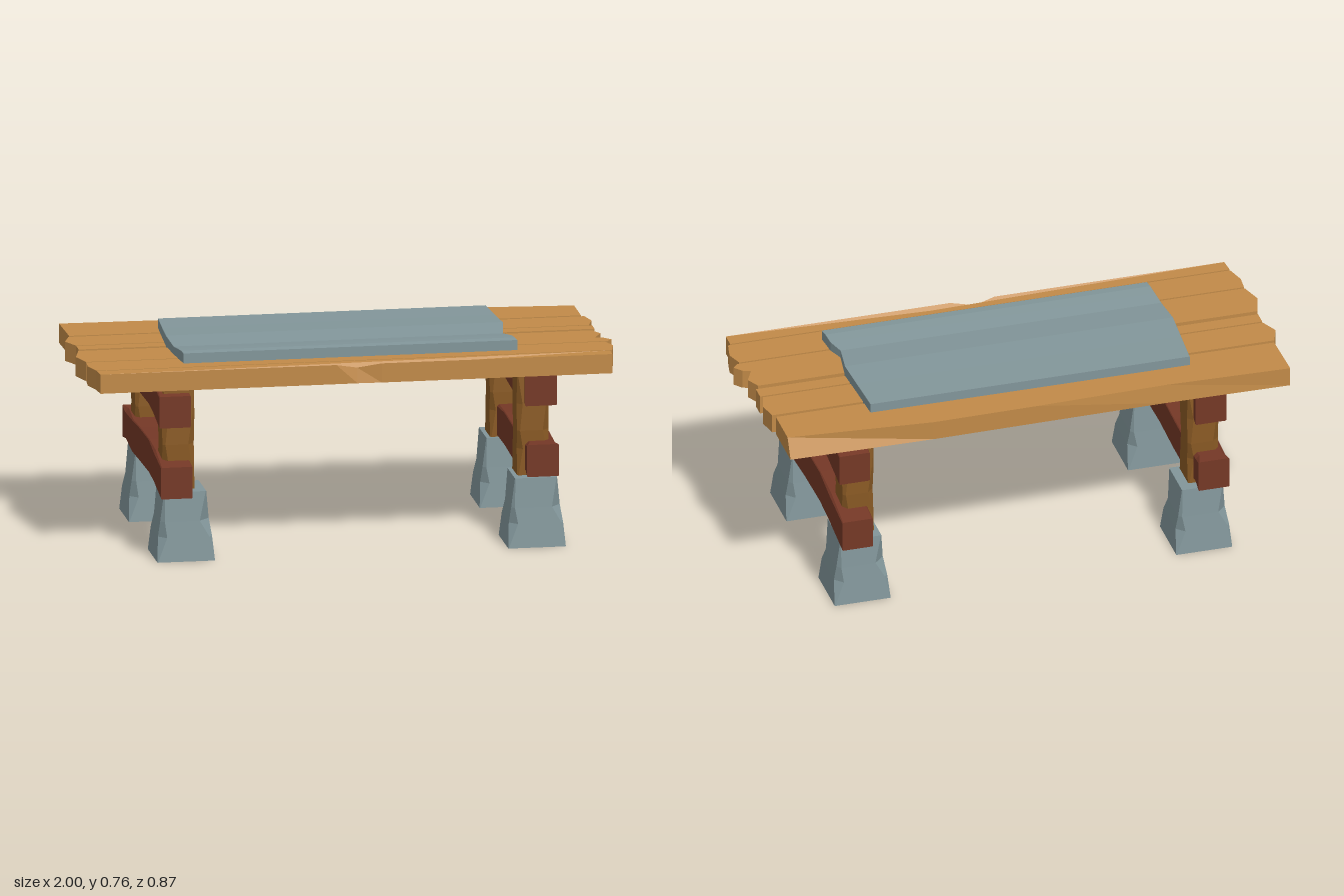
import * as THREE from 'three';

const mat = (name, color) => Object.assign(new THREE.MeshStandardMaterial({ color }), { name });

// Skin a list of rings (each counter-clockwise seen from the far end) with capped ends and flat facets.
function loft(rings) {
  const n = rings[0].length, index = [], last = (rings.length - 1) * n;
  for (let i = 0; i < rings.length - 1; i++) {
    for (let j = 0; j < n; j++) {
      const a = i * n + j, b = i * n + (j + 1) % n;
      index.push(a, b, b + n, a, b + n, a + n);
    }
  }
  for (let j = 1; j < n - 1; j++) index.push(0, j + 1, j, last, last + j, last + j + 1);
  const g = new THREE.BufferGeometry();
  g.setAttribute('position', new THREE.Float32BufferAttribute(rings.flat(2), 3));
  g.setIndex(index);
  const flat = g.toNonIndexed();
  flat.computeVertexNormals();
  return flat;
}

// Rectangle with four cut corners; cuts start at (u0, v0) and run counter-clockwise.
function cutRect(u0, u1, v0, v1, [a, b, c, d]) {
  return [[u0 + a, v0], [u1 - b, v0], [u1, v0 + b], [u1, v1 - c],
    [u1 - c, v1], [u0 + d, v1], [u0, v1 - d], [u0, v0 + a]];
}

// Upright block: levels of [y, half width x, half width z, corner cuts].
const upright = levels => loft(levels.map(([y, hx, hz, cuts]) =>
  cutRect(-hz, hz, -hx, hx, cuts).map(([z, x]) => [x, y, z])));

// Block along z: stations of [z, x0, x1, y0, y1, cut].
const along = stations => loft(stations.map(([z, x0, x1, y0, y1, c]) =>
  cutRect(x0, x1, y0, y1, [c, c, c, c]).map(([x, y]) => [x, y, z])));

// Plank from an outline of [x, z]; dents move one top corner: [x, z, dy, dz].
function plankGeometry(outline, dents = []) {
  const shape = new THREE.Shape(outline.map(([x, z]) => new THREE.Vector2(x, -z)));
  const g = new THREE.ExtrudeGeometry(shape, { depth: 0.073, bevelEnabled: false });
  g.rotateX(-Math.PI / 2).translate(0, 0.645, 0);
  const p = g.attributes.position;
  for (let i = 0; i < p.count; i++) {
    for (const [x, z, dy, dz] of dents) {
      if (p.getY(i) > 0.7 && Math.hypot(p.getX(i) - x, p.getZ(i) - z) < 0.003) {
        p.setXYZ(i, x, p.getY(i) + dy, z + dz);
      }
    }
  }
  g.computeVertexNormals();
  return g;
}

export function createModel() {
  const model = new THREE.Group();
  model.name = 'bench';
  const plankWood = mat('light wood', 0xc18a48);
  const postWood = mat('brown wood', 0x8a5a24);
  const beamWood = mat('red wood', 0x753826);
  const stone = mat('grey stone', 0x82969a);

  const add = (name, geometry, material, x = 0, y = 0, z = 0, turn = 0) => {
    const mesh = new THREE.Mesh(geometry, material);
    mesh.name = name;
    mesh.position.set(x, y, z);
    mesh.rotation.y = turn;
    model.add(mesh);
  };

  // Planks from back to front
  const planks = [
    [[[-0.975, -0.4], [-0.5, -0.395], [0, -0.4], [0.4, -0.405], [0.95, -0.4], [0.95, -0.205], [0, -0.2], [-0.97, -0.205]],
      [[0.95, -0.4, 0, 0.04], [-0.5, -0.395, 0, 0.008]]],
    [[[-0.975, -0.19], [0.96, -0.19], [0.975, -0.12], [0.955, -0.055], [-0.97, -0.055], [-1, -0.12]]],
    [[[-0.97, -0.047], [0.965, -0.047], [0.965, 0.008], [-0.97, 0.008]]],
    [[[-0.975, 0.03], [0.95, 0.03], [0.975, 0.08], [0.945, 0.14], [0.975, 0.15], [1, 0.18], [0.98, 0.202], [-0.975, 0.202], [-1, 0.12]]],
    [[[-0.975, 0.21], [0.97, 0.21], [0.99, 0.27], [0.975, 0.341], [-0.96, 0.341], [-0.98, 0.27]]],
    [[[-0.96, 0.348], [0.965, 0.348], [0.965, 0.405], [0.1, 0.405], [0.01, 0.402], [-0.07, 0.403], [-0.955, 0.405]],
      [[0.01, 0.402, -0.016, -0.012]]],
  ];
  planks.forEach(([outline, dents]) => add('plank', plankGeometry(outline, dents), plankWood));

  // Stone slab resting on the planks
  add('slab', along([
    [-0.273, -0.625, 0.605, 0.69, 0.754, 0.001],
    [-0.12, -0.635, 0.613, 0.69, 0.755, 0.001],
    [0.01, -0.643, 0.621, 0.69, 0.758, 0.001],
    [0.14, -0.636, 0.6, 0.69, 0.748, 0.001],
    [0.2, -0.63, 0.622, 0.69, 0.754, 0.001],
    [0.25, -0.626, 0.626, 0.69, 0.758, 0.001],
    [0.285, -0.623, 0.63, 0.69, 0.756, 0.001],
  ]), stone);

  // Legs: a chipped stone foot with a wooden post on top
  const s = 0.002;
  const foot = upright([
    [0, 0.108, 0.109, [s, s, s, s]],
    [0.09, 0.1, 0.1, [0.012, 0.03, 0.008, 0.03]],
    [0.15, 0.093, 0.094, [0.04, 0.012, 0.035, 0.015]],
    [0.26, 0.079, 0.085, [s, s, s, s]],
  ]);
  const post = upright([
    [0.24, 0.06, 0.058, [s, s, s, s]],
    [0.36, 0.059, 0.059, [0.01, 0.02, 0.01, 0.02]],
    [0.43, 0.06, 0.062, [0.025, 0.01, 0.025, 0.01]],
    [0.53, 0.06, 0.06, [0.01, 0.02, 0.012, 0.02]],
    [0.645, 0.059, 0.055, [s, s, s, s]],
  ]);
  for (const [footX, postX, turn] of [[0.678, 0.675, 0], [-0.638, -0.655, Math.PI]]) {
    for (const [footZ, postZ] of [[0.325, 0.306], [-0.312, -0.297]]) {
      add('foot', foot, stone, footX, 0, footZ, turn);
      add('post', post, postWood, postX, 0, postZ, turn);
    }
  }

  // Warped cross beams, two at each end
  const beam = length => along([
    [-1, -0.058, 0.06, -0.075, 0.045, 0.003],
    [-0.58, -0.06, 0.058, -0.055, 0.069, 0.008],
    [-0.23, -0.055, 0.05, -0.054, 0.073, 0.003],
    [0.23, -0.058, 0.052, -0.057, 0.071, 0.003],
    [0.5, -0.06, 0.06, -0.053, 0.074, 0.004],
    [0.88, -0.056, 0.058, -0.047, 0.075, 0.014],
    [1, -0.06, 0.06, -0.046, 0.076, 0.003],
  ].map(([z, ...rest]) => [z * length, ...rest]));
  const lower = beam(0.433), upper = beam(0.392);
  for (const [x, turn] of [[0.7, 0], [-0.672, Math.PI]]) {
    add('lowerBeam', lower, beamWood, x, 0.315, 0, turn);
    add('upperBeam', upper, beamWood, x, 0.575, 0, turn);
  }
  return model;
}
